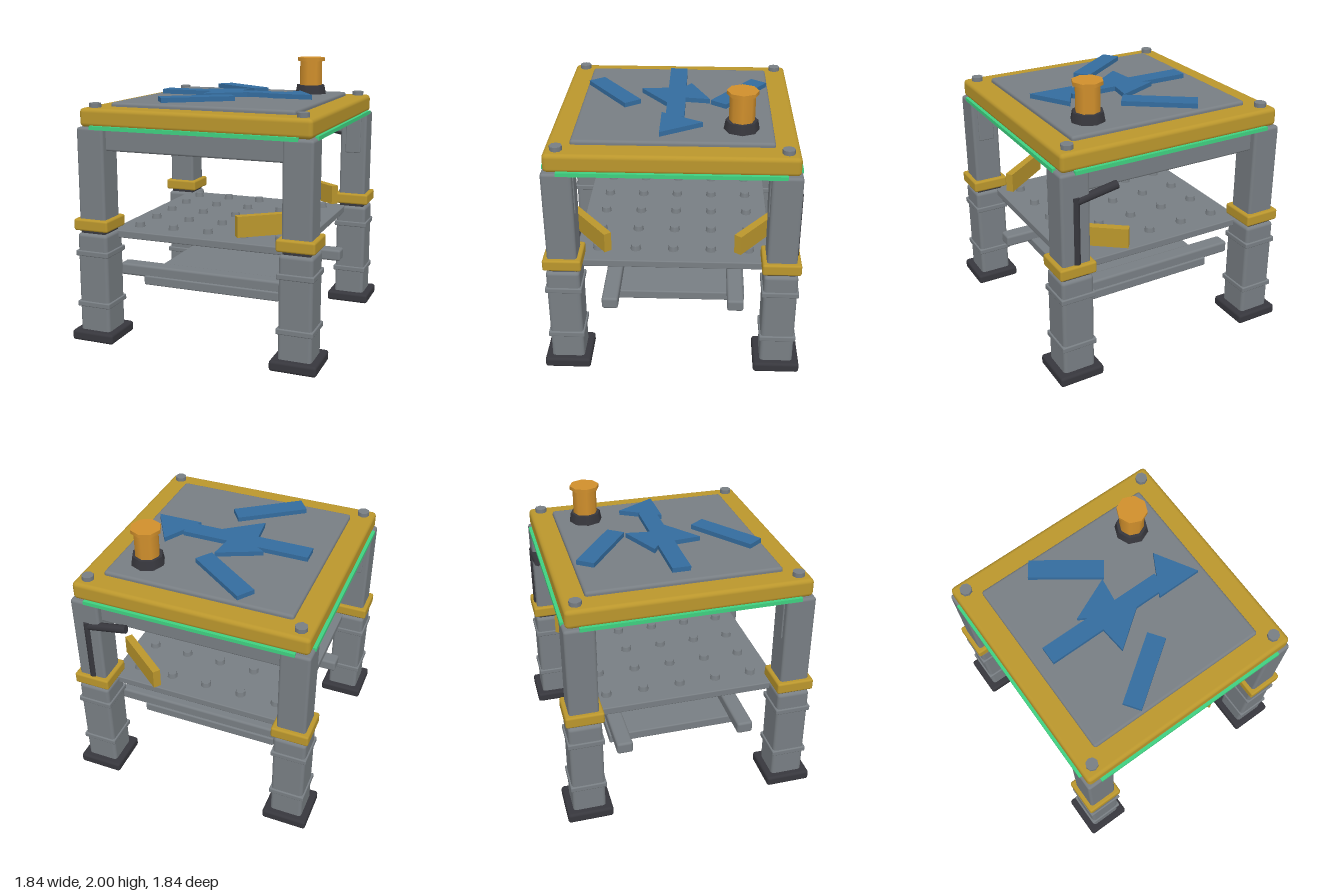
import * as THREE from 'three';
import { RoundedBoxGeometry } from 'three/addons/geometries/RoundedBoxGeometry.js';

function material(name, color) {
  const m = new THREE.MeshStandardMaterial({ color });
  m.name = name;
  return m;
}

export function createModel() {
  const steel = material('steel grey', 0x787e83);
  const yellow = material('safety yellow', 0xba962c);
  const rubber = material('dark rubber', 0x37373d);
  const blue = material('marking blue', 0x346c9e);
  const orange = material('lamp orange', 0xd08f2c);
  const green = material('light green', 0x3fd080);

  const model = new THREE.Group();
  model.name = 'workTable';

  function add(name, geometry, mat, x, y, z, parent = model) {
    const mesh = new THREE.Mesh(geometry, mat);
    mesh.name = name;
    mesh.position.set(x, y, z);
    parent.add(mesh);
    return mesh;
  }

  // Box given by its width, depth and height range, with an optional rounded edge
  function block(name, mat, w, y0, y1, d, x, z, radius = 0, parent = model) {
    const h = y1 - y0;
    const geometry = radius
      ? new RoundedBoxGeometry(w, h, d, 2, radius)
      : new THREE.BoxGeometry(w, h, d);
    return add(name, geometry, mat, x, (y0 + y1) / 2, z, parent);
  }

  // Flat-sided polygon plate lying in the xz plane, from [x, z] points
  function plate(name, mat, points, y, thickness) {
    const shape = new THREE.Shape(points.map(([x, z]) => new THREE.Vector2(x, -z)));
    const geometry = new THREE.ExtrudeGeometry(shape, { depth: thickness, bevelEnabled: false });
    geometry.rotateX(-Math.PI / 2);
    return add(name, geometry, mat, 0, y, 0);
  }

  // Four telescopic legs
  const L = 0.755;
  for (const sx of [-1, 1]) {
    for (const sz of [-1, 1]) {
      const leg = new THREE.Group();
      leg.name = `${sz > 0 ? 'front' : 'back'}${sx > 0 ? 'Left' : 'Right'}Leg`;
      leg.position.set(sx * L, 0, sz * L);
      model.add(leg);
      block('foot', rubber, 0.33, 0.002, 0.077, 0.33, 0, 0, 0.02, leg);
      block('lowerLeg', steel, 0.236, 0, 0.8, 0.236, 0, 0, 0.025, leg);
      for (const y of [0.275, 0.655]) {
        block('legBand', steel, 0.258, y - 0.02, y + 0.02, 0.258, 0, 0, 0.008, leg);
      }
      block('seal', rubber, 0.19, 0.78, 0.84, 0.19, 0, 0, 0, leg);
      block('collar', yellow, 0.268, 0.823, 0.907, 0.268, 0, 0, 0.015, leg);
      block('upperLeg', steel, 0.208, 0.83, 1.56, 0.208, 0, 0, 0.02, leg);
      block('innerPanel', steel, 0.12, 1.24, 1.52, 0.02, 0, -sz * 0.102, 0.008, leg);
    }
  }

  // Beams and lower stretchers running from side to side
  for (const sz of [-1, 1]) {
    block('topBeam', steel, 1.4, 1.395, 1.56, 0.11, 0, sz * L, 0.015);
    block('stretcher', steel, 1.47, 0.4, 0.49, 0.118, 0, sz * 0.455, 0.018);
  }

  // Shelves, the upper one studded
  block('lowerShelf', steel, 1.055, 0.347, 0.416, 1.055, 0, 0, 0.01);
  block('middleShelf', steel, 1.4, 0.745, 0.8, 1.4, 0, 0, 0.008);
  const stud = new THREE.CylinderGeometry(0.033, 0.04, 0.04, 8);
  for (let i = -2; i <= 2; i++) {
    for (let j = -2; j <= 2; j++) {
      add('shelfStud', stud, steel, i * 0.271, 0.816, j * 0.271);
    }
  }

  // Table top with its inset plate and corner bolts
  block('tableTop', yellow, 1.685, 1.56, 1.692, 1.685, 0, 0, 0.03);
  block('topPlate', steel, 1.36, 1.66, 1.722, 1.36, 0, 0, 0.02);
  const bolt = new THREE.CylinderGeometry(0.043, 0.043, 0.05, 8);
  for (const x of [-0.757, 0.757]) {
    for (const z of [-0.757, 0.757]) add('cornerBolt', bolt, steel, x, 1.698, z);
  }

  // Light strips under the rim
  for (const s of [-1, 1]) {
    block('lightStrip', green, 1.51, 1.546, 1.573, 0.025, 0, s * 0.85);
    block('lightStrip', green, 0.025, 1.546, 1.573, 1.51, s * 0.85, 0);
  }

  // Blue arrow and two slanted bars
  plate('arrow', blue, [
    [-0.575, -0.07], [-0.207, -0.07], [-0.266, -0.108], [0.044, -0.246], [0.02, -0.07],
    [0.36, -0.07], [0.36, -0.042], [0.448, -0.2], [0.62, 0.09], [0.286, 0.09],
    [0.303, 0.06], [0.113, 0.06], [-0.148, 0.256], [-0.167, 0.06], [-0.575, 0.06],
  ], 1.731, 0.034);
  for (const s of [-1, 1]) {
    const bar = block('arrowBar', blue, 0.526, 1.731, 1.765, 0.133, -0.115, s * 0.458);
    bar.rotation.y = s * 0.62;
  }

  // Signal lamp
  const lamp = new THREE.Group();
  lamp.name = 'signalLamp';
  lamp.position.set(0.45, 0, -0.46);
  model.add(lamp);
  add('lampBase', new THREE.CylinderGeometry(0.11, 0.122, 0.068, 8), rubber, 0, 1.755, 0, lamp);
  add('lampBody', new THREE.CylinderGeometry(0.088, 0.088, 0.2, 8), orange, 0, 1.88, 0, lamp);
  add('lampCap', new THREE.CylinderGeometry(0.108, 0.108, 0.026, 8), orange, 0, 1.987, 0, lamp);

  // Slanted yellow guide plates on the left side
  for (const s of [-1, 1]) {
    const guide = block('guidePlate', yellow, 0.47, 0.855, 1.0, 0.057, 0.48, s * 0.6);
    guide.rotation.y = s * 0.66;
  }

  // Dark conduit on the back of one leg
  const rise = new THREE.CylinderGeometry(0.027, 0.027, 0.57, 8);
  add('conduitRiser', rise, rubber, 0.75, 1.105, -0.848);
  const arm = new THREE.CylinderGeometry(0.03, 0.03, 0.31, 8);
  add('conduitArm', arm, rubber, 0.6, 1.383, -0.846).rotation.z = Math.PI / 2 - 0.175;

  return model;
}
